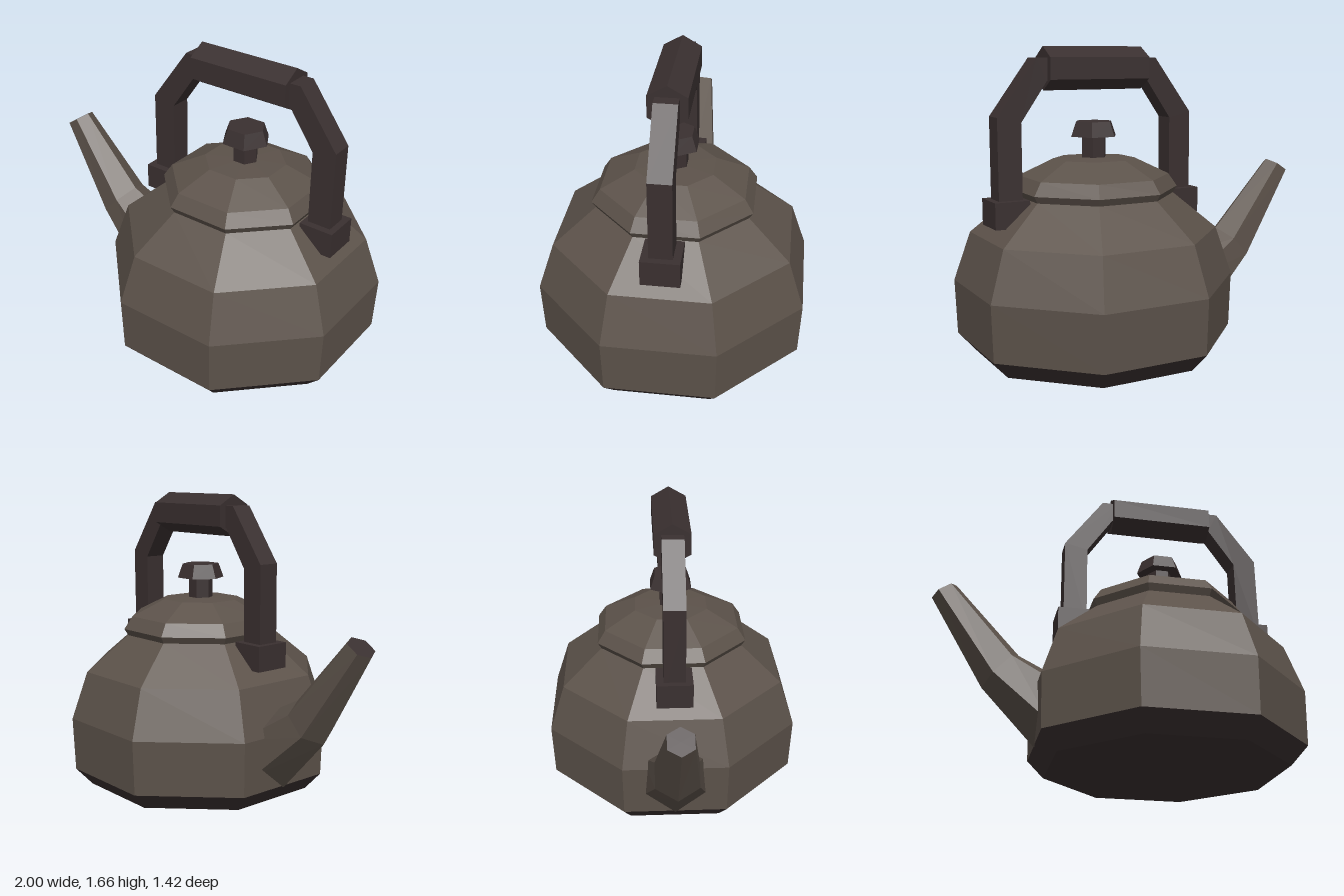
import * as THREE from 'three';

const CX = 0.29; // axis of the pot; the spout fills the rest of the width

export function createModel() {
  const group = new THREE.Group();
  const iron = new THREE.MeshStandardMaterial({ name: 'warm grey iron', color: 0x5c524a, flatShading: true });
  const dark = new THREE.MeshStandardMaterial({ name: 'dark brown', color: 0x3a3030, flatShading: true });

  const add = (name, geometry, material, x = 0, y = 0, z = 0) => {
    const mesh = new THREE.Mesh(geometry, material);
    mesh.name = name;
    mesh.position.set(x, y, z);
    group.add(mesh);
    return mesh;
  };

  // Eight-sided turned shape; profile is [distance to flat, height], bottom to top
  const octagon = (profile) => new THREE.LatheGeometry(
    profile.map(([a, y]) => new THREE.Vector2(a / Math.cos(Math.PI / 8), y)), 8, Math.PI / 8);

  // Pot
  add('base', octagon([[0, 0], [0.615, 0], [0.7, 0.1]]), dark, CX);
  add('body', octagon([[0.7, 0.1], [0.71, 0.4], [0.625, 0.665], [0.4, 0.865], [0, 0.865]]), iron, CX);
  add('lid', octagon([[0, 0.86], [0.4, 0.86], [0.422, 0.9], [0.378, 0.97], [0.205, 1.06], [0, 1.07]]), iron, CX);

  // Knob
  add('knobStem', new THREE.CylinderGeometry(0.07, 0.07, 0.15, 6, 1, false, Math.PI / 2), dark, CX, 1.115);
  add('knob', new THREE.CylinderGeometry(0.105, 0.134, 0.08, 6, 1, false, Math.PI / 2), dark, CX, 1.22);

  // Spout: six-sided rings from tip to root, each with its lower and upper corner
  const rings = [
    [[-1.0, 0.905], [-0.87, 0.99]],
    [[-0.7, 0.4], [-0.51, 0.6]],
    [[-0.41, 0.09], [-0.21, 0.45]],
  ];
  const spout = new THREE.CylinderGeometry(1, 1, 2, 6, 2, false, Math.PI / 2);
  const p = spout.attributes.position;
  for (let i = 0; i < p.count; i++) {
    const [low, high] = rings[Math.round(1 - p.getY(i))];
    const t = (p.getX(i) + 1) / 2;
    const radius = Math.hypot(high[0] - low[0], high[1] - low[1]) / 2;
    p.setXYZ(i, low[0] + (high[0] - low[0]) * t, low[1] + (high[1] - low[1]) * t, p.getZ(i) * radius);
  }
  spout.computeVertexNormals();
  add('spout', spout, [iron, dark, iron]);

  // Handle: mirrored bent arms on blocks
  const arm = [[0.57, 0.8], [0.57, 1.3], [0.35, 1.6], [0.26, 1.6], [0.26, 1.48], [0.295, 1.48], [0.44, 1.27], [0.44, 0.8]];
  for (const [side, s] of [['left', 1], ['right', -1]]) {
    const shape = new THREE.Shape(arm.map(([x, y]) => new THREE.Vector2(s * x, y)));
    const bent = new THREE.ExtrudeGeometry(shape, { depth: 0.12, bevelEnabled: false });
    add(side + 'HandleArm', bent, dark, CX, 0, -0.06);
    add(side + 'HandleBlock', new THREE.BoxGeometry(0.19, 0.14, 0.2), dark, CX + s * 0.51, 0.8);
  }

  // Six-sided grip with an edge on top
  const grip = new THREE.CylinderGeometry(0.115, 0.115, 0.58, 6, 1, false, Math.PI / 2);
  grip.rotateZ(Math.PI / 2);
  add('grip', grip, dark, CX, 1.545);

  return group;
}
